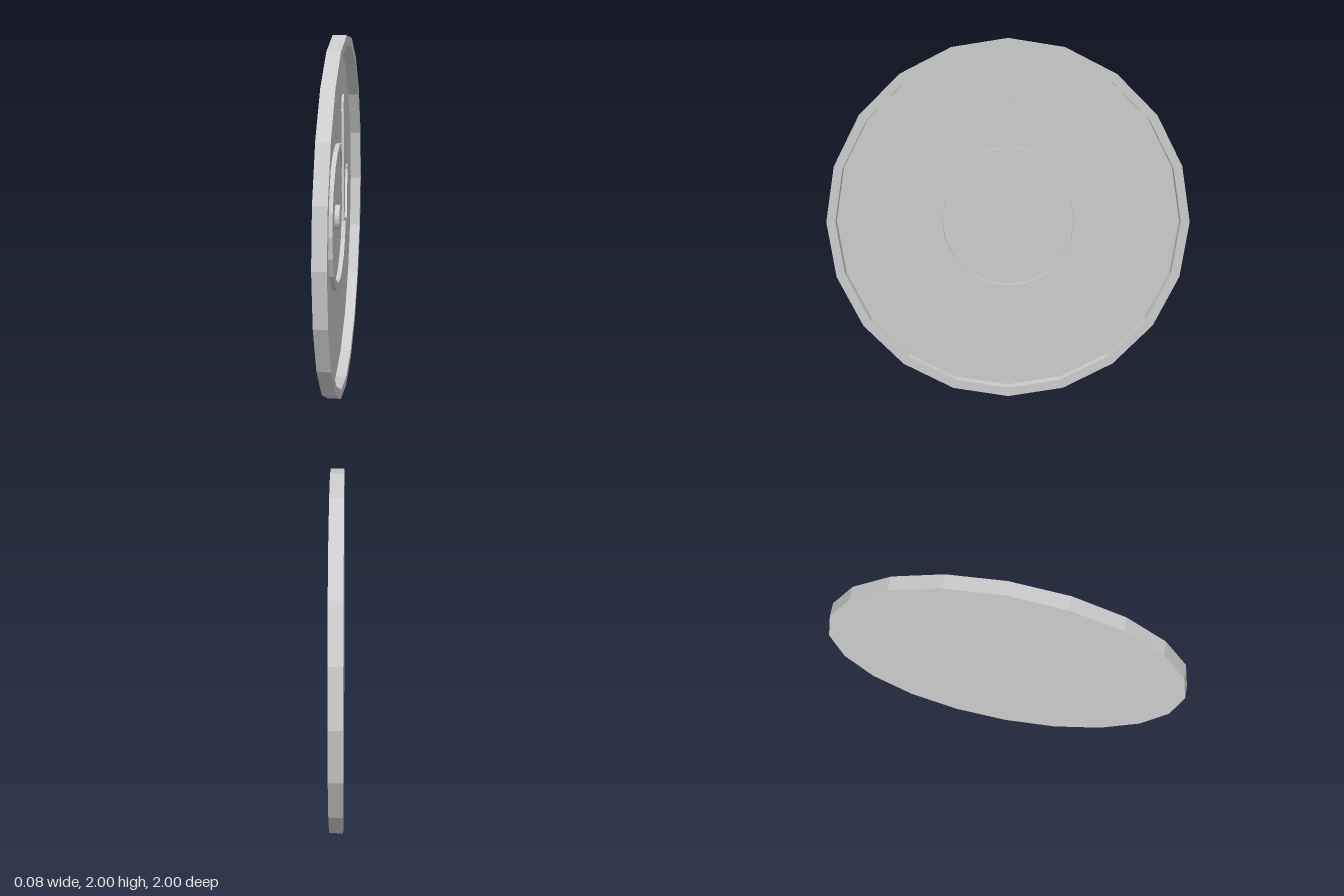
import * as THREE from 'three';

const SIDES = 20;
const FACE = -0.025; // dial surface along the x axis
const material = new THREE.MeshStandardMaterial({ color: 0xcccccc, flatShading: true });

// Faceted solid of revolution about the x axis; points are [radius, x]
function turned(name, points) {
  const geometry = new THREE.LatheGeometry(points.map(([r, x]) => new THREE.Vector2(r, x)), SIDES);
  geometry.rotateZ(-Math.PI / 2);
  const mesh = new THREE.Mesh(geometry, material);
  mesh.name = name;
  return mesh;
}

// Arrow-shaped hand lying on the dial, its back at height x over the pivot
function hand(name, { length, head, shaftWidth, headWidth, depth, x, angle, tilt }) {
  const s = shaftWidth / 2, h = headWidth / 2, neck = length - head;
  const outline = [[-s, -0.02], [s, -0.02], [s, neck], [h, neck], [0, length], [-h, neck], [-s, neck]];
  const shape = new THREE.Shape(outline.map(([u, v]) => new THREE.Vector2(u, v)));
  const geometry = new THREE.ExtrudeGeometry(shape, { depth, bevelEnabled: false });
  geometry.rotateX(-tilt); // tip leans towards the dial
  geometry.rotateZ(-angle); // clockwise from twelve
  geometry.rotateY(Math.PI / 2); // face +x
  geometry.translate(x, 0, 0);
  const mesh = new THREE.Mesh(geometry, material);
  mesh.name = name;
  return mesh;
}

export function createModel() {
  const clock = new THREE.Group();
  clock.name = 'wallClock';

  // Case: flat back, outer wall, raised rim and recessed dial
  clock.add(turned('caseAndDial', [
    [0, -0.04], [1, -0.04], [1, 0.035], [0.95, 0.035], [0.95, FACE], [0, FACE],
  ]));

  // Raised ring and central hub on the dial
  clock.add(turned('innerRing', [[0.41, FACE], [0.41, 0], [0.365, 0], [0.365, FACE]]));
  clock.add(turned('hub', [[0.068, FACE], [0.068, 0.002], [0, 0.002]]));

  // Hands
  clock.add(hand('minuteHand', {
    length: 0.685, head: 0.085, shaftWidth: 0.04, headWidth: 0.084,
    depth: 0.012, x: 0.013, angle: 0, tilt: 0.005,
  }));
  clock.add(hand('hourHand', {
    length: 0.435, head: 0.06, shaftWidth: 0.034, headWidth: 0.058,
    depth: 0.012, x: 0.026, angle: Math.PI / 3, tilt: 0.07,
  }));

  clock.position.y = 1;
  const root = new THREE.Group();
  root.add(clock);
  return root;
}
